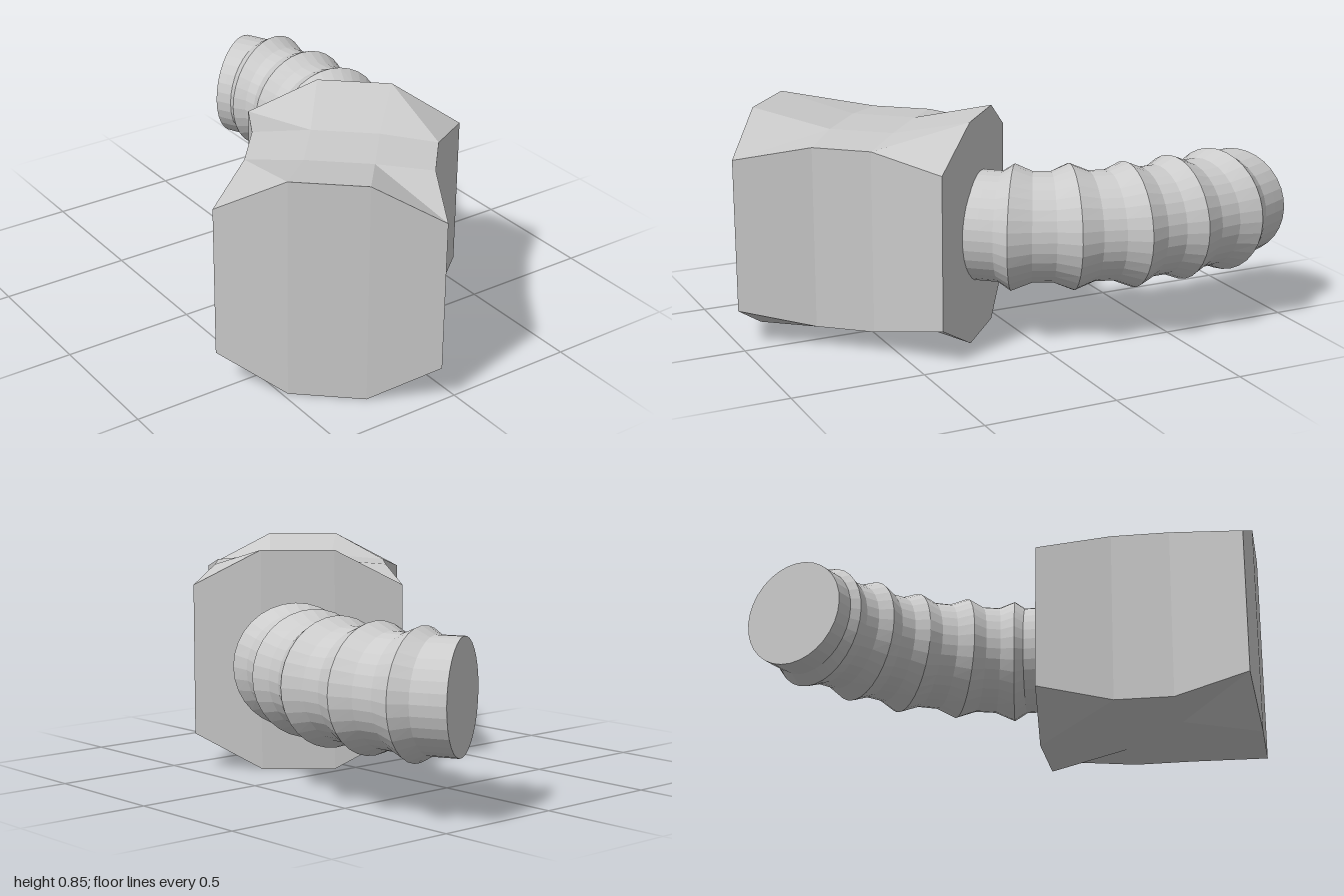
import * as THREE from 'three';

const MID_Y = 0.4225;

// Point in a tilted cross-section: u sideways, v up, f forward along the heading a
function place(s, u, v, f = 0) {
  const c = Math.cos(s.a), n = Math.sin(s.a);
  return new THREE.Vector3(s.x + u * c + f * n, MID_Y + v, s.z + u * n - f * c);
}

// Skin a list of equal-sized rings; caps lists the polygons that close each end
function loft(rings, caps) {
  const pos = [];
  const face = (...p) => {
    for (let i = 1; i < p.length - 1; i++) {
      for (const q of [p[0], p[i], p[i + 1]]) pos.push(q.x, q.y, q.z);
    }
  };
  const n = rings[0].length;
  for (let k = 0; k < rings.length - 1; k++) {
    const r = rings[k], s = rings[k + 1];
    for (let i = 0; i < n; i++) {
      const j = (i + 1) % n;
      face(r[i], s[i], s[j], r[j]);
    }
  }
  const last = rings[rings.length - 1];
  for (const cap of caps) {
    face(...cap.map(i => rings[0][i]));
    face(...[...cap].reverse().map(i => last[i]));
  }
  const g = new THREE.BufferGeometry();
  g.setAttribute('position', new THREE.Float32BufferAttribute(pos, 3));
  g.computeVertexNormals();
  return g;
}

export function createModel() {
  const group = new THREE.Group();
  const material = new THREE.MeshStandardMaterial({ color: 0xcccccc, flatShading: true });
  const add = (name, geometry) => {
    const mesh = new THREE.Mesh(geometry, material);
    mesh.name = name;
    group.add(mesh);
  };

  // Head: four octagonal sections, pinched in the middle, with bulging end faces
  const sections = [
    { x: -0.36, z: 0.735, w: 0.4, side: 0.2875, inner: 0.14, top: 0.4225, bulge: -0.025 },
    { x: -0.17, z: 0.525, w: 0.336, side: 0.34, inner: 0.125, top: 0.357, bulge: -0.01 },
    { x: -0.025, z: 0.355, w: 0.338, side: 0.34, inner: 0.125, top: 0.357, bulge: 0.01 },
    { x: 0.165, z: 0.145, w: 0.398, side: 0.2875, inner: 0.14, top: 0.4225, bulge: 0.025 },
  ];
  const headRings = sections.map(h => {
    const s = { x: h.x, z: h.z, a: 0.725 };
    return [
      place(s, h.w, -h.side), place(s, h.w, h.side),
      place(s, h.inner, h.top, h.bulge), place(s, -h.inner, h.top, h.bulge),
      place(s, -h.w, h.side), place(s, -h.w, -h.side),
      place(s, -h.inner, -h.top, h.bulge), place(s, h.inner, -h.top, h.bulge),
    ];
  });
  add('head', loft(headRings, [[0, 1, 2, 7], [7, 2, 3, 6], [6, 3, 4, 5]]));

  // Handle: curved grip; stations are x, z, heading, with a ridge at each inner one
  const stations = [
    [0.18, 0.14, 0.72], [0.27, 0.035, 0.56], [0.355, -0.16, 0.3], [0.42, -0.365, 0.11],
    [0.415, -0.565, -0.06], [0.39, -0.765, -0.29], [0.325, -0.9, -0.52],
  ].map(([x, z, a]) => ({ x, z, a }));
  const SIDES = 32, GRIP = 0.207, RIDGE = 0.236;
  const mix = THREE.MathUtils.lerp;
  const ring = (s, r) => Array.from({ length: SIDES }, (_, i) => {
    const t = i / SIDES * Math.PI * 2;
    return place(s, r * Math.cos(t), r * Math.sin(t));
  });
  const handleRings = [];
  stations.forEach((s, i) => {
    const end = i === 0 || i === stations.length - 1;
    handleRings.push(ring(s, end ? GRIP : RIDGE));
    const n = stations[i + 1];
    if (!n) return;
    // Valleys between neighbouring ridges
    for (const t of [0.33, 0.67]) {
      const m = { x: mix(s.x, n.x, t), z: mix(s.z, n.z, t), a: mix(s.a, n.a, t) };
      handleRings.push(ring(m, GRIP));
    }
  });
  add('handle', loft(handleRings, [Array.from({ length: SIDES }, (_, i) => i)]));

  return group;
}
